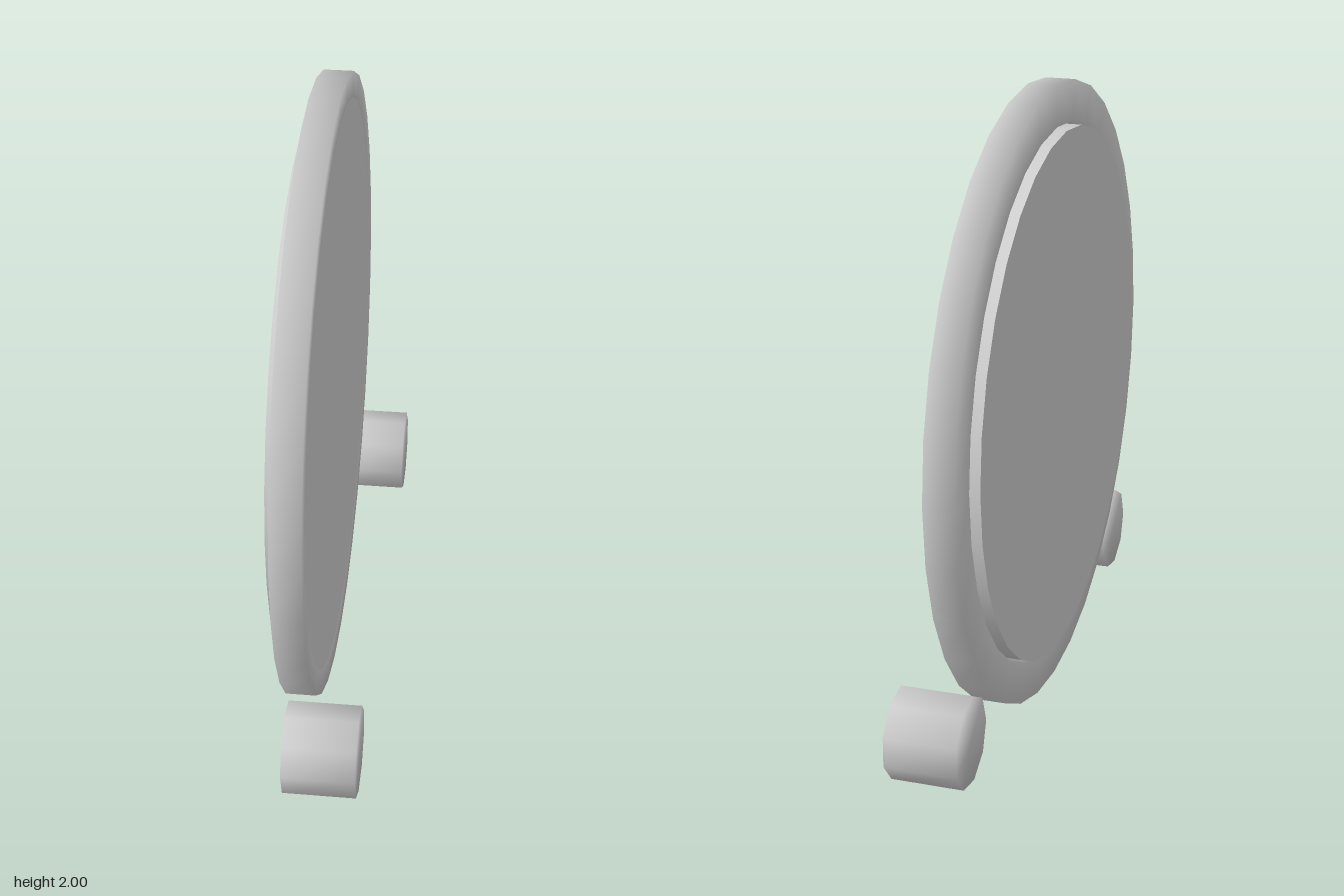
import * as THREE from 'three';

export function createModel() {
  const group = new THREE.Group();
  const grey = new THREE.MeshStandardMaterial({ color: 0xcccccc });
  grey.name = 'light grey';

  // Everything is turned around the x axis
  const add = (name, geometry, x, y, z) => {
    const mesh = new THREE.Mesh(geometry.rotateZ(-Math.PI / 2), grey);
    mesh.name = name;
    mesh.position.set(x, y, z);
    group.add(mesh);
  };
  // Profile as [radius, x] pairs, with normals blended over the corners
  const lathe = (profile, sides) =>
    new THREE.LatheGeometry(profile.map(([r, x]) => new THREE.Vector2(r, x)), sides);

  // Rim: square section with soft shading
  add('rim', lathe([
    [0.855, -0.07], [0.87, -0.11], [1, -0.11],
    [1, -0.015], [0.92, -0.015], [0.905, -0.05],
  ], 32), 0, 1, 0);

  // Face panel, flush with the rim
  add('facePanel', new THREE.CylinderGeometry(0.92, 0.9, 0.05, 32), -0.041, 1, 0);

  // Raised plate on the back
  add('backPlate', new THREE.CylinderGeometry(0.86, 0.86, 0.09, 32), -0.095, 1, 0);

  // Two nine-sided feet with soft shaded ends
  for (const [name, z] of [['frontFoot', 0.821], ['rearFoot', -0.83]]) {
    add(name, lathe([[0, -0.095], [0.144, -0.095], [0.144, 0.135], [0, 0.135]], 9), 0, 0.178, z);
  }
  return group;
}
